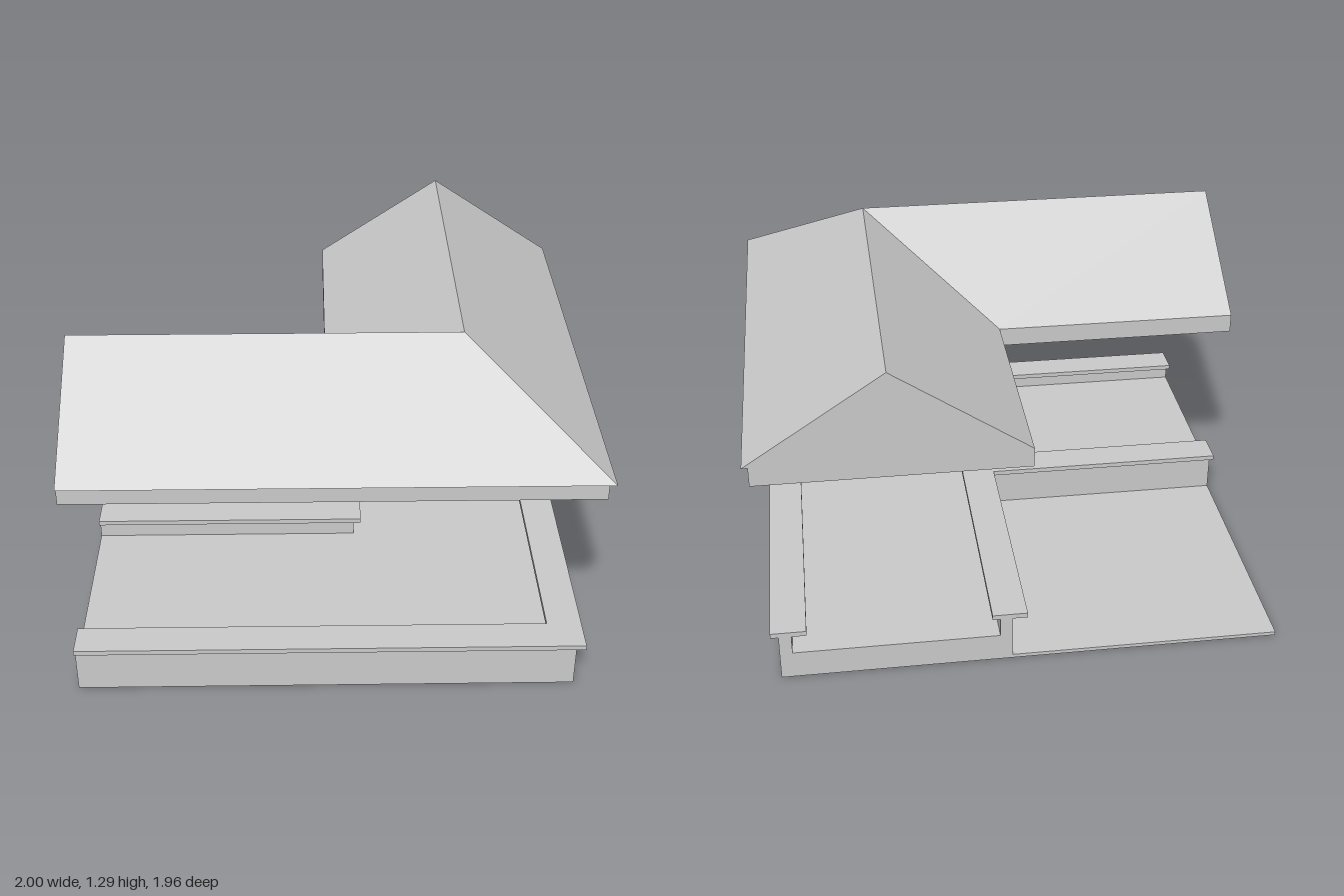
import * as THREE from 'three';

const LEFT = -1, BACK = -0.977;
const material = new THREE.MeshStandardMaterial({ color: 0xcccccc, flatShading: true });

// Sweeps a counter-clockwise profile [u, y] around a mitred right-angle corner.
// One arm runs along x, the other along z; dz shifts the corner in z.
function cornerSweep(name, profile, dz) {
  const stations = [
    ([u, y]) => [LEFT, y, u + dz],
    ([u, y]) => [u, y, u + dz],
    ([u, y]) => [u, y, BACK],
  ].map((place) => profile.map(place));
  const positions = [];
  const tri = (a, b, c) => positions.push(...a, ...b, ...c);

  // sides of both arms
  for (let s = 0; s < 2; s++) {
    const [from, to] = [stations[s], stations[s + 1]];
    for (let i = 0; i < profile.length; i++) {
      const j = (i + 1) % profile.length;
      tri(from[i], to[i], to[j]);
      tri(from[i], to[j], from[j]);
    }
  }
  // end caps
  const contour = profile.map(([u, y]) => new THREE.Vector2(u, y));
  for (const [a, b, c] of THREE.ShapeUtils.triangulateShape(contour, [])) {
    tri(stations[0][a], stations[0][b], stations[0][c]);
    tri(stations[2][a], stations[2][c], stations[2][b]);
  }

  const geometry = new THREE.BufferGeometry();
  geometry.setAttribute('position', new THREE.Float32BufferAttribute(positions, 3));
  geometry.computeVertexNormals();
  const mesh = new THREE.Mesh(geometry, material);
  mesh.name = name;
  return mesh;
}

const band = (u0, u1, y0, y1) => [[u0, y0], [u1, y0], [u1, y1], [u0, y1]];

export function createModel() {
  const model = new THREE.Group();
  model.name = 'cornerWalkway';
  const baseShift = 0.025, roofShift = -0.029;
  const inner = 0.042, outer = 0.925, wall = 0.048;
  const floorY = 0.113, wallTop = 0.19, capTop = 0.21;

  // raised walkway with a low wall along each side
  model.add(cornerSweep('walkway', [
    [inner, 0], [outer, 0], [outer, wallTop], [outer - wall, wallTop],
    [outer - wall, floorY], [inner + wall, floorY],
    [inner + wall, wallTop], [inner, wallTop],
  ], baseShift));

  // flat rails on top of the walls
  for (const [name, edge] of [['outerRail', outer], ['innerRail', inner + wall]]) {
    model.add(cornerSweep(name, band(edge - 0.105, edge + 0.03, wallTop, capTop), baseShift));
  }

  // thin courtyard floor inside the corner
  const width = inner - LEFT, depth = inner + baseShift - BACK, thick = 0.015;
  const courtyard = new THREE.Mesh(new THREE.BoxGeometry(width, thick, depth), material);
  courtyard.position.set(LEFT + width / 2, thick / 2, BACK + depth / 2);
  courtyard.name = 'courtyardFloor';
  model.add(courtyard);

  // gabled roof floating above, with a slight overhang on the outer eave
  model.add(cornerSweep('roof', [
    [-0.03, 0.87], [0.977, 0.87], [0.977, 0.945], [1, 0.945],
    [0.485, 1.29], [-0.03, 0.945],
  ], roofShift));

  return model;
}
